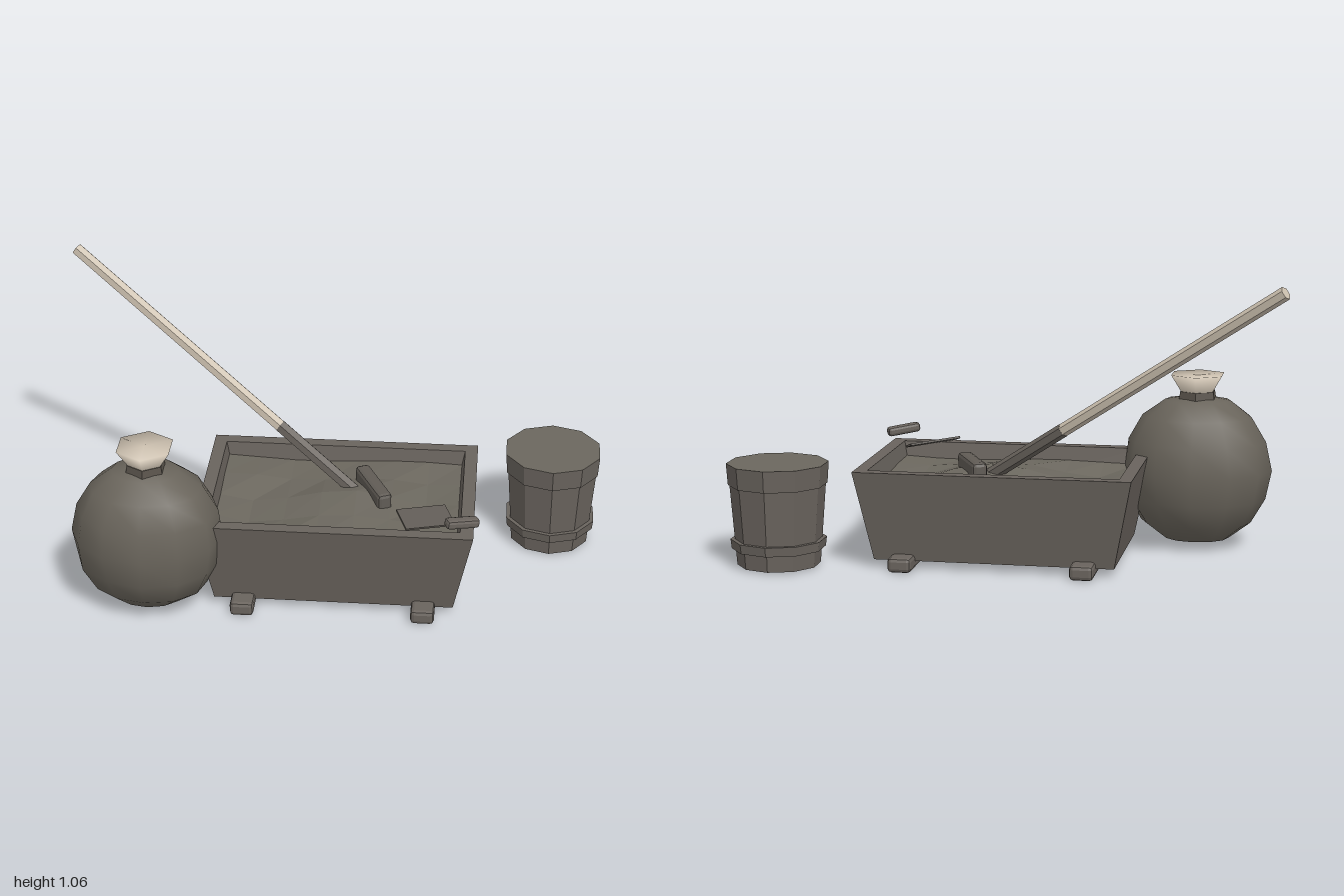
import * as THREE from 'three';
import { mergeVertices } from 'three/addons/utils/BufferGeometryUtils.js';
import { RoundedBoxGeometry } from 'three/addons/geometries/RoundedBoxGeometry.js';

const material = (name, color, flatShading = true) => {
  const m = new THREE.MeshStandardMaterial({ color });
  m.name = name;
  m.flatShading = flatShading;
  return m;
};

// Lofts rectangular rings [halfX, y, halfZ] into one hard-edged shell
function loftRectangles(rings) {
  const corners = [[-1, 1], [1, 1], [1, -1], [-1, -1]];
  const at = (r, i) => {
    const [sx, sz] = corners[i % 4];
    return [r[0] * sx, r[1], r[2] * sz];
  };
  const pos = [];
  for (let k = 0; k < rings.length - 1; k++) {
    for (let i = 0; i < 4; i++) {
      const a = at(rings[k], i), b = at(rings[k], i + 1);
      const c = at(rings[k + 1], i + 1), d = at(rings[k + 1], i);
      pos.push(...a, ...b, ...c, ...a, ...c, ...d);
    }
  }
  const g = new THREE.BufferGeometry();
  g.setAttribute('position', new THREE.Float32BufferAttribute(pos, 3));
  g.computeVertexNormals();
  return g;
}

export function createModel() {
  const model = new THREE.Group();
  model.name = 'mortarMixingSet';

  const wood = material('weathered wood', 0x69635d);
  const mortar = material('wet mortar', 0x6b675e);
  const pale = material('pale wood', 0xcdc1b0);
  const paleCloth = material('pale cloth', 0xcfc3b2, false);
  const cloth = material('sack cloth', 0x69645b, false);
  const cord = material('cord', 0x59534b);
  const iron = material('iron', 0x605b55);

  const add = (parent, name, geometry, mat, x = 0, y = 0, z = 0) => {
    const mesh = new THREE.Mesh(geometry, mat);
    mesh.name = name;
    mesh.position.set(x, y, z);
    parent.add(mesh);
    return mesh;
  };
  const group = (name, x = 0, y = 0, z = 0) => {
    const g = new THREE.Group();
    g.name = name;
    g.position.set(x, y, z);
    model.add(g);
    return g;
  };
  // Hexagonal rod between two points
  const rod = (parent, name, a, b, radius, mat) => {
    const mesh = add(parent, name, new THREE.CylinderGeometry(radius, radius, a.distanceTo(b), 6), mat);
    mesh.position.copy(a).lerp(b, 0.5);
    mesh.quaternion.setFromUnitVectors(new THREE.Vector3(0, 1, 0), b.clone().sub(a).normalize());
  };

  // Mixing trough with sloping walls, on two runners
  const trough = group('trough', 0.0425, 0, 0.002);
  add(trough, 'troughBox', loftRectangles([
    [0, 0.03, 0], [0.432, 0.03, 0.28], [0.497, 0.355, 0.337],
    [0.45, 0.355, 0.29], [0.4, 0.1, 0.245], [0, 0.1, 0],
  ]), wood);
  for (const side of [-1, 1]) {
    add(trough, 'runner', new RoundedBoxGeometry(0.085, 0.053, 0.715, 1, 0.014), wood, side * 0.325, 0.0275, 0);
  }

  // Uneven mortar surface
  const bed = new THREE.PlaneGeometry(0.89, 0.57, 7, 4).rotateX(-Math.PI / 2);
  const bp = bed.attributes.position;
  for (let i = 0; i < bp.count; i++) {
    const x = bp.getX(i), z = bp.getZ(i);
    const inside = Math.abs(x) < 0.43 && Math.abs(z) < 0.27 ? 1 : 0.2;
    bp.setY(i, inside * (0.022 * Math.sin(9 * x + 5 * z + 1) + 0.015 * Math.cos(14 * z - 6 * x)));
  }
  bed.computeVertexNormals();
  add(trough, 'mortarBed', bed, mortar, 0, 0.3, 0);

  // Hoe resting in the mortar, lower handle soaked
  const hoe = group('hoe');
  const tip = new THREE.Vector3(-0.98, 1.04, -0.485);
  const joint = new THREE.Vector3(-0.19, 0.5, -0.165);
  const foot = new THREE.Vector3(0.13, 0.281, -0.035);
  rod(hoe, 'upperHandle', tip, joint, 0.024, pale);
  rod(hoe, 'lowerHandle', joint, foot, 0.025, wood);
  const head = add(hoe, 'hoeHead', new RoundedBoxGeometry(0.055, 0.075, 0.24, 1, 0.014), iron, 0.165, 0.327, -0.033);
  head.rotation.y = 0.44;

  // Trowel on the rim
  const trowel = group('trowel');
  const u = new THREE.Vector3(0.17, -0.02, -0.08);
  const v = new THREE.Vector3(0.04, -0.025, 0.09);
  const blade = add(trowel, 'trowelBlade', new THREE.BoxGeometry(1, 0.008, 1), iron);
  const n = v.clone().cross(u).normalize();
  blade.geometry.applyMatrix4(new THREE.Matrix4().makeBasis(u, n, v));
  blade.position.set(0.367, 0.368, 0.222);
  const grip = add(trowel, 'trowelHandle', new RoundedBoxGeometry(0.125, 0.034, 0.042, 1, 0.011), wood, 0.498, 0.399, 0.297);
  grip.rotation.set(0, 0.45, -0.14);

  // Ten-sided bucket with hoops
  const bucket = group('bucket', 0.82, 0, -0.2975);
  const ring = (name, top, bottom, y0, y1, mat) =>
    add(bucket, name, new THREE.CylinderGeometry(top, bottom, y1 - y0, 10), mat, 0, (y0 + y1) / 2, 0);
  ring('bucketStaves', 0.174, 0.149, 0.006, 0.33, wood);
  ring('bucketRim', 0.1825, 0.177, 0.297, 0.375, [wood, mortar, wood]);
  ring('bucketHoop', 0.172, 0.168, 0.066, 0.1, wood);

  // Plump sack with a tied neck
  const sack = group('sack', -0.62, 0, 0.28);
  let body = new THREE.SphereGeometry(1, 12, 8);
  const sp = body.attributes.position;
  for (let i = 0; i < sp.count; i++) {
    const x = sp.getX(i), y = sp.getY(i), z = sp.getZ(i);
    const r = Math.hypot(x, z);
    const bulge = r > 1e-4 ? Math.pow(r, -0.15) : 1;
    const lump = 1 + 0.02 * Math.sin(5 * x + 3 * z + 4 * y);
    sp.setXYZ(i, x * bulge * lump * 0.273, 0.29 + y * 0.28, z * bulge * lump * 0.216);
  }
  body.deleteAttribute('uv');
  body.deleteAttribute('normal');
  body = mergeVertices(body, 1e-4);
  body.computeVertexNormals();
  add(sack, 'sackBody', body, cloth);
  const neck = [[0.05, 0.53], [0.062, 0.575], [0.107, 0.645], [0, 0.64]].map((p) => new THREE.Vector2(...p));
  add(sack, 'sackNeck', new THREE.LatheGeometry(neck, 6), paleCloth);
  add(sack, 'neckTie', new THREE.CylinderGeometry(0.07, 0.076, 0.035, 6), cord, 0, 0.565, 0);

  return model;
}
